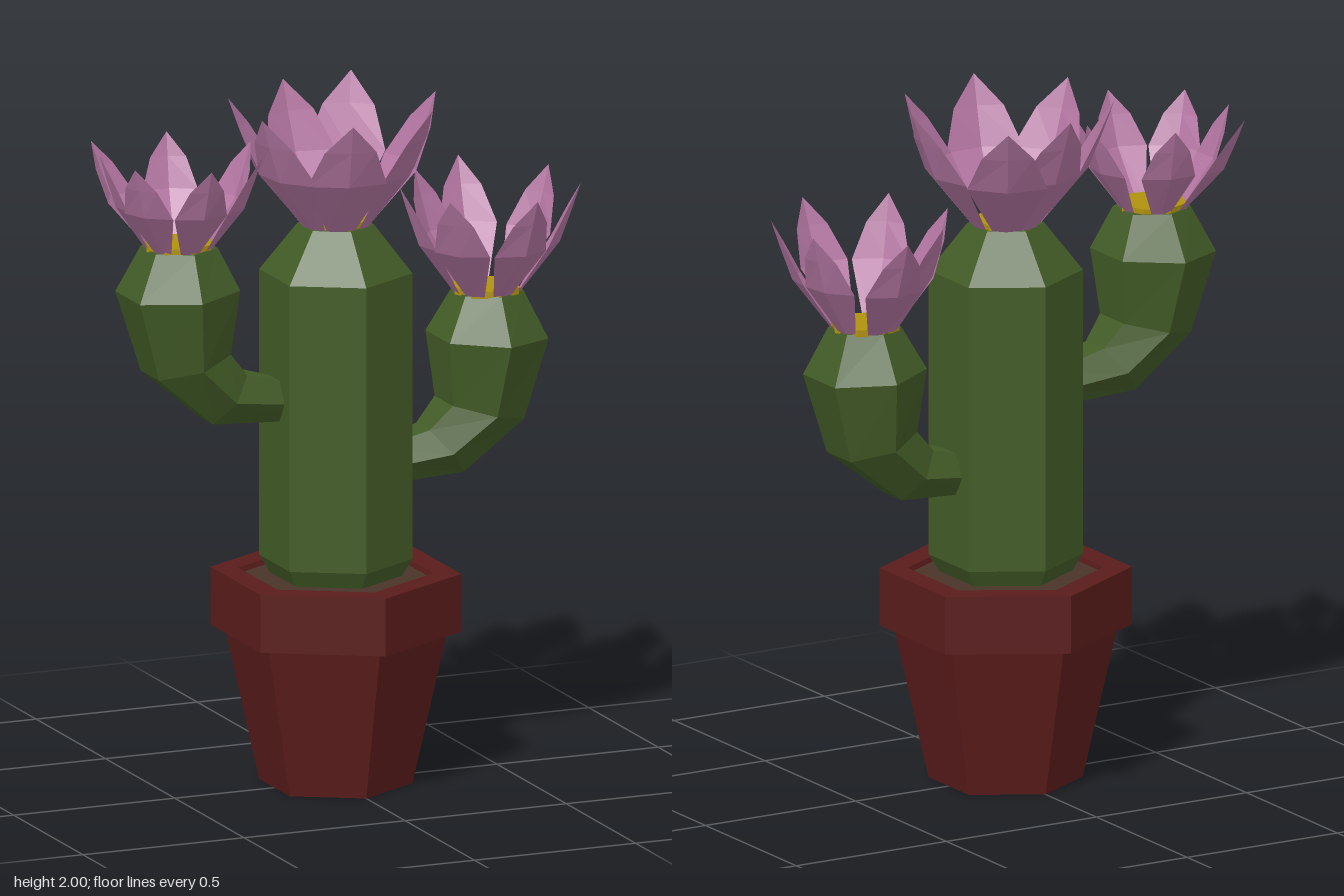
import * as THREE from 'three';

const paint = (color, side = THREE.FrontSide) =>
  new THREE.MeshStandardMaterial({ color, flatShading: true, side });
const GREEN = paint(0x435c27);
const CLAY = paint(0x5a1c1b);
const SOIL = paint(0x4a3429);
const PINK = paint(0xb476a2, THREE.DoubleSide);
const YELLOW = paint(0xb0920f);

function add(parent, name, geometry, material, y = 0) {
  const mesh = new THREE.Mesh(geometry, material);
  mesh.name = name;
  mesh.position.y = y;
  parent.add(mesh);
  return mesh;
}

function surface(points, index) {
  const g = new THREE.BufferGeometry();
  g.setAttribute('position', new THREE.Float32BufferAttribute(points.flat(), 3));
  g.setIndex(index);
  g.computeVertexNormals();
  return g;
}

// Six-sided turned solid, corners on +z and -z
const hexLathe = (profile) =>
  new THREE.LatheGeometry(profile.map(([r, y]) => new THREE.Vector2(r, y)), 6);

// Arm through hexagonal rings, each given by its outer and inner point [x, y, x, y]
function armGeometry(rings, side) {
  const points = [], index = [];
  for (const [ox, oy, ix, iy] of rings) {
    const cx = (ox + ix) / 2, cy = (oy + iy) / 2;
    const ux = (ox - ix) / 2 / 0.866, uy = (oy - iy) / 2 / 0.866;
    const r = Math.hypot(ux, uy);
    for (let k = 0; k < 6; k++) {
      const a = Math.PI / 6 + k * Math.PI / 3;
      points.push([cx + ux * Math.cos(a), cy + uy * Math.cos(a), side * r * Math.sin(a)]);
    }
  }
  for (let i = 0; i < rings.length - 1; i++) {
    for (let k = 0; k < 6; k++) {
      const n = (k + 1) % 6, a = i * 6 + k, b = i * 6 + n;
      index.push(a, a + 6, b, b, a + 6, b + 6);
    }
  }
  // flat top
  const t = (rings.length - 1) * 6;
  for (let k = 1; k < 5; k++) index.push(t, t + k + 1, t + k);
  return surface(points, index);
}

// Cupped petal along +x: rows of [reach, height, half width, fold]
function petalGeometry(reach, height, width) {
  const rows = [[0, 0, 0.35, 0.05], [0.5, 0.45, 1, 0.16], [0.78, 0.76, 0.65, 0.08]];
  const points = [], index = [];
  const radius = (t) => 0.09 + t * (reach - 0.09);
  for (const [t, h, w, fold] of rows) {
    points.push([radius(t), h * height, -w * width]);
    points.push([radius(t + fold), h * height, 0]);
    points.push([radius(t), h * height, w * width]);
  }
  points.push([reach, height, 0]);
  for (let i = 0; i < 6; i += 3) {
    for (const a of [i, i + 1]) index.push(a, a + 3, a + 1, a + 1, a + 3, a + 4);
  }
  index.push(6, 9, 7, 7, 9, 8);
  return surface(points, index);
}

// Flower: yellow centre and a ring of petals [angle in degrees, reach]
function flower(name, x, y, height, width, sides, petals) {
  const group = new THREE.Group();
  group.name = name;
  group.position.set(x, y, 0);
  add(group, 'flowerCentre', new THREE.CylinderGeometry(0.1, 0.1, 0.02, sides), YELLOW, 0.005);
  for (const [angle, reach] of petals) {
    const petal = add(group, 'petal', petalGeometry(reach, height, width), PINK);
    petal.rotation.y = -THREE.MathUtils.degToRad(angle);
  }
  return group;
}

export function createModel() {
  const model = new THREE.Group();
  model.name = 'pottedCactus';

  // Pot with a thick rim
  add(model, 'pot', hexLathe([[0, 0], [0.22, 0], [0.32, 0.45], [0.36, 0.45],
    [0.36, 0.62], [0.28, 0.62], [0.27, 0.59]]), CLAY);
  add(model, 'soil', new THREE.CylinderGeometry(0.275, 0.275, 0.03, 6), SOIL, 0.59);

  // Trunk and arms
  add(model, 'trunk', hexLathe([[0, 0.58], [0.19, 0.61], [0.22, 0.66], [0.22, 1.5],
    [0.11, 1.64], [0, 1.64]]), GREEN);
  add(model, 'leftArm', armGeometry([[0.12, 0.865, 0.12, 0.975], [0.376, 0.884, 0.27, 1.016],
    [0.556, 1.026, 0.335, 1.085], [0.622, 1.26, 0.316, 1.275], [0.56, 1.4, 0.38, 1.4]], 1), GREEN);
  add(model, 'rightArm', armGeometry([[-0.12, 1.08, -0.12, 1.185], [-0.402, 1.1, -0.296, 1.235],
    [-0.577, 1.25, -0.354, 1.305], [-0.646, 1.485, -0.335, 1.497], [-0.582, 1.62, -0.39, 1.62]], -1), GREEN);

  // Flowers
  model.add(flower('topFlower', 0, 1.64, 0.36, 0.115, 6, [[0, 0.31], [47, 0.3], [104, 0.31],
    [156, 0.31], [210, 0.31], [263, 0.3], [300, 0.37]]));
  model.add(flower('leftFlower', 0.468, 1.4, 0.32, 0.085, 8, [[-24, 0.26], [27, 0.27], [83, 0.29],
    [135, 0.28], [186, 0.26], [238, 0.25], [278, 0.31]]));
  model.add(flower('rightFlower', -0.488, 1.62, 0.28, 0.08, 8, [[-8, 0.24], [40, 0.25], [92, 0.26],
    [143, 0.25], [193, 0.23], [230, 0.28], [285, 0.24]]));
  return model;
}
